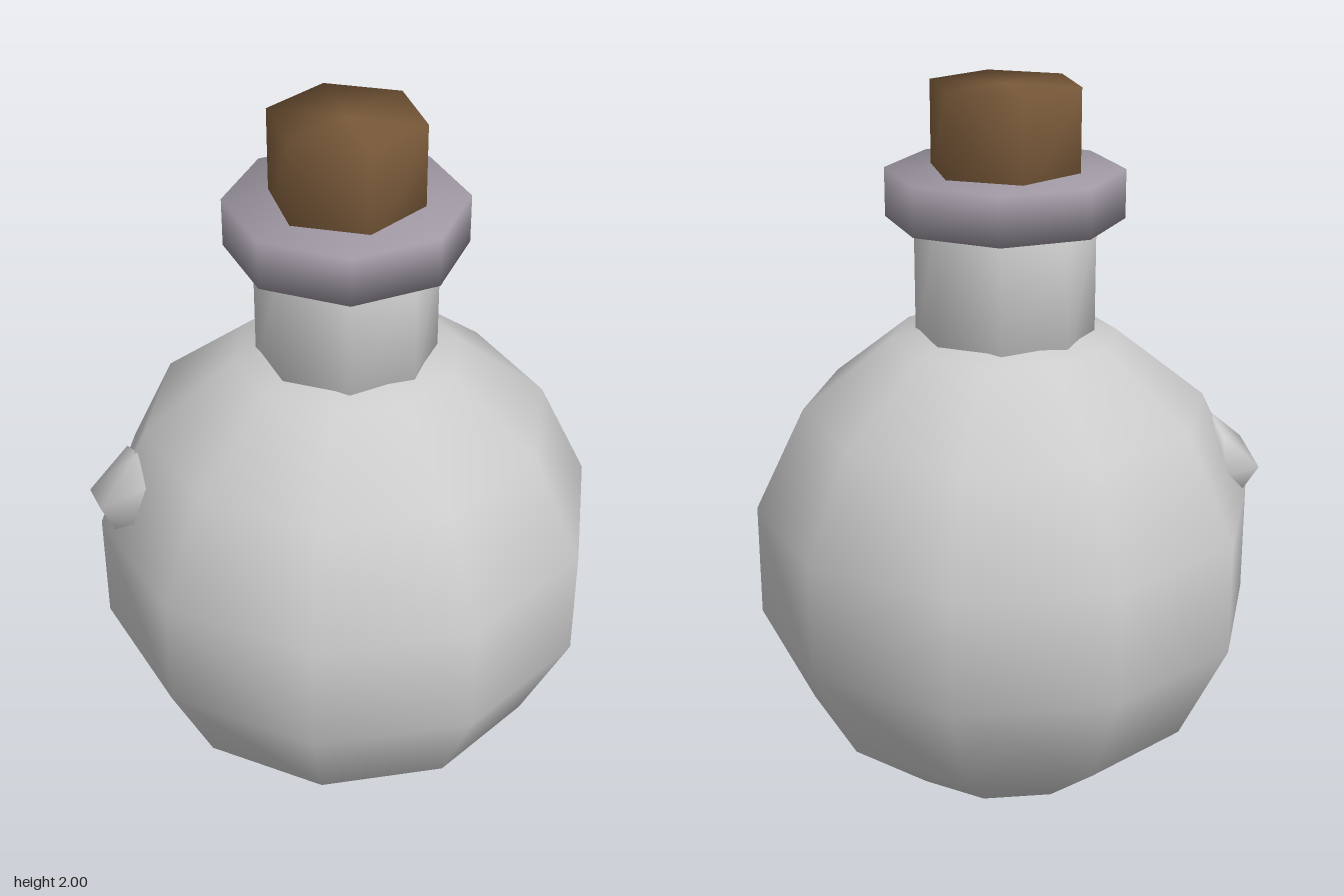
import * as THREE from 'three';
import { mergeVertices } from 'three/addons/utils/BufferGeometryUtils.js';
import { ConvexGeometry } from 'three/addons/geometries/ConvexGeometry.js';

// Share vertices across all edges so the low-poly shape shades smoothly.
function smooth(geometry) {
  geometry.deleteAttribute('normal');
  geometry.deleteAttribute('uv');
  const merged = mergeVertices(geometry, 1e-4);
  merged.computeVertexNormals();
  return merged;
}

function material(name, color) {
  const m = new THREE.MeshStandardMaterial({ color });
  m.name = name;
  return m;
}

export function createModel() {
  const model = new THREE.Group();
  model.name = 'corkedFlask';

  const glass = material('paleGlass', 0xcccccc);
  const rimColor = material('mauveRim', 0x9f98a3);
  const corkColor = material('brownCork', 0x7a5a3a);

  function add(name, geometry, mat, y = 0) {
    const mesh = new THREE.Mesh(smooth(geometry), mat);
    mesh.name = name;
    mesh.position.y = y;
    model.add(mesh);
  }

  // Upright prism with a corner on the z axis
  function prism(name, radius, sides, bottom, top, mat) {
    add(name, new THREE.CylinderGeometry(radius, radius, top - bottom, sides), mat, (top + bottom) / 2);
  }

  // Round body
  add('body', new THREE.SphereGeometry(0.7, 10, 7, Math.PI / 2), glass, 0.7);

  // Neck, rim and stopper
  prism('neck', 0.24, 8, 1.28, 1.68, glass);
  prism('rim', 0.315, 8, 1.65, 1.78, rimColor);
  prism('cork', 0.204, 6, 1.7, 2, corkColor);

  // Small faceted blob sunk into the front of the body
  const blob = [
    [-0.455, 0.93, 0.54], [-0.415, 1.04, 0.43], [-0.325, 1.08, 0.47],
    [-0.235, 1.035, 0.515], [-0.24, 0.93, 0.56], [-0.325, 0.84, 0.55],
    [-0.325, 0.97, 0.61], [-0.45, 0.94, 0.41], [-0.42, 0.85, 0.5], [-0.4, 0.96, 0.4],
  ].map((p) => new THREE.Vector3(...p));
  add('blob', new ConvexGeometry(blob), glass);

  return model;
}
